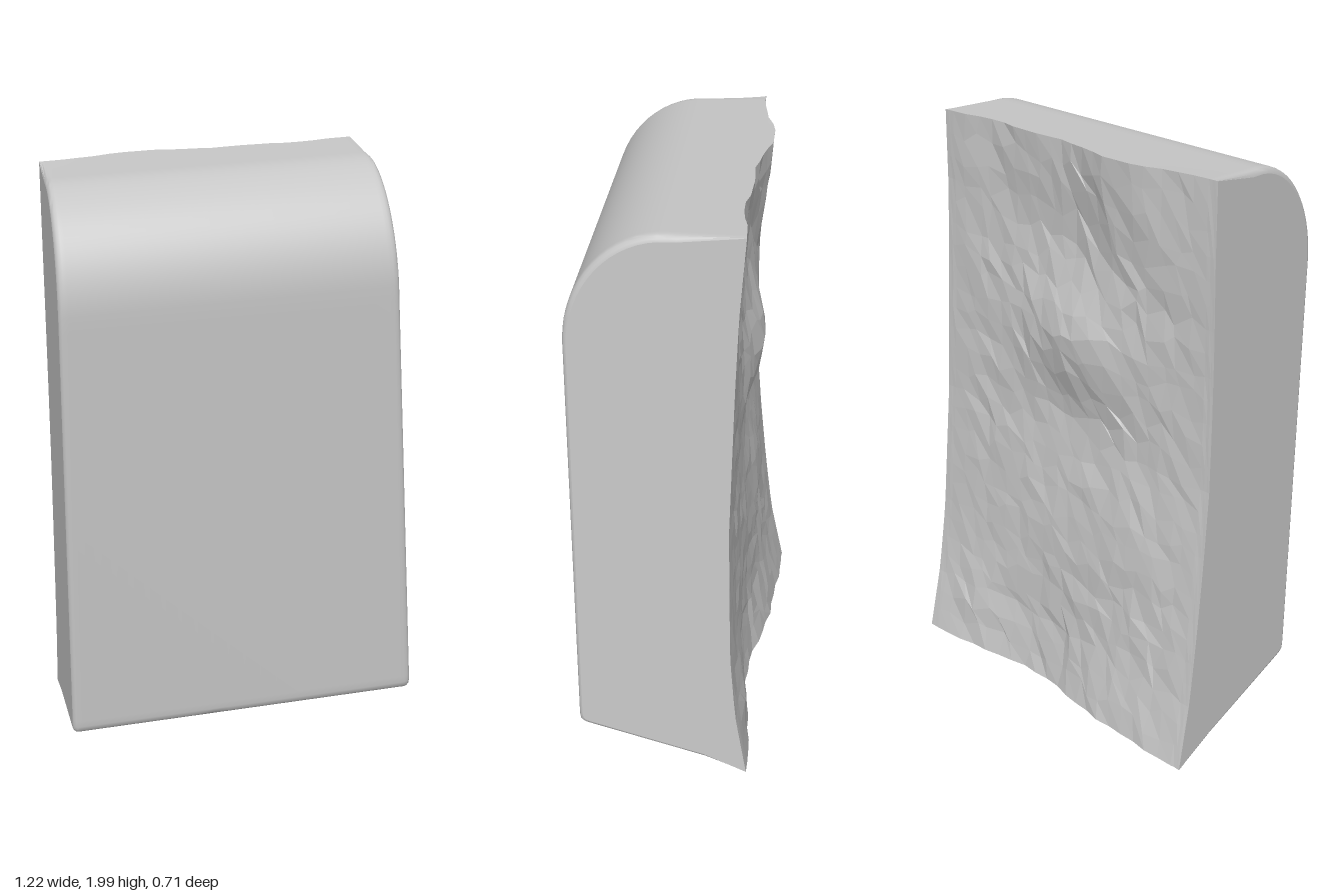
import * as THREE from 'three';
import { toCreasedNormals } from 'three/addons/utils/BufferGeometryUtils.js';

const ROWS = 26, R = 0.018, SHIFT_Z = -0.12, SHIFT_Y = 0.04;
const lerp = THREE.MathUtils.lerp;

// the two side planes: x for a given height and depth
const leftX = (z, y) => -0.55 + 0.105 * (z - 0.33) + 0.008 * (y - 0.155);
const rightX = (z, y) => 0.61 + 0.1 * (z - 0.2) - 0.075 * (y - 0.195);

// depth of the rough face along its two upright edges, bottom to top
const EDGE_L = [-0.265, -0.215, -0.185, -0.16, -0.14, -0.135, -0.135, -0.14, -0.14];
const EDGE_R = [-0.355, -0.31, -0.285, -0.275, -0.265, -0.265, -0.265, -0.268, -0.28];
function sample(list, t) {
  const f = t * (list.length - 1), i = Math.min(Math.floor(f), list.length - 2);
  return lerp(list[i], list[i + 1], f - i);
}

function hash(a, b) {
  const v = Math.sin(a * 127.1 + b * 311.7) * 43758.5453;
  return (v - Math.floor(v)) * 2 - 1;
}

// bumps and hollows: s, t, spread in s, spread in t, depth
const BUMPS = [
  [0.6, 0, 0.22, 0.18, 0.055], [0.3, 1, 0.14, 0.15, -0.045], [0.82, 1, 0.12, 0.15, 0.015],
  [0.47, 0.68, 0.17, 0.09, -0.055], [0.6, 0.85, 0.2, 0.08, 0.02], [0.45, 0.52, 0.2, 0.07, 0.015],
  [0.82, 0.1, 0.07, 0.05, -0.02], [0.25, 0.35, 0.15, 0.1, -0.012],
];

// point on the rough rear face
function backPoint(s, t) {
  const yl = lerp(0.008, 1.965, t), yr = lerp(0.045, 2, t);
  const zl = sample(EDGE_L, t), zr = sample(EDGE_R, t);
  const p = new THREE.Vector3(leftX(zl, yl), yl, zl).lerp(new THREE.Vector3(rightX(zr, yr), yr, zr), s);
  const fade = Math.min(1, 8 * s * (1 - s));
  for (const [bs, bt, ws, wt, d] of BUMPS) {
    p.z += fade * d * Math.exp(-(((s - bs) / ws) ** 2) - ((t - bt) / wt) ** 2);
  }
  p.z += fade * 0.005 * hash(s * 31, t * 17);
  return p;
}

// smooth outline as [z, y], from rear bottom edge round the front to rear top edge
const PROFILE = [[-0.1, 0.05], [0.29, 0.145], [0.305, 0.149], [0.319, 0.154], [0.328, 0.163],
  [0.331, 0.178], [0.332, 0.2], [0.354, 1.55]];
for (let i = 0; i <= 16; i++) {
  const a = (i / 16) * Math.PI / 2;
  PROFILE.push([0.055 + 0.3 * Math.cos(a), 1.6 + 0.352 * Math.sin(a)]);
}
PROFILE.push([0.03, 1.953]);

// stations across the width, with rounded rims at both ends
const rim = [0, 1, 2, 3].map((k) => {
  const a = (k / 3) * Math.PI / 2;
  return { s: R * (1 - Math.cos(a)), inset: R * (1 - Math.sin(a)) };
});
const STATIONS = [...rim, { s: 0.03, inset: 0 }];
for (let i = 1; i < 20; i++) STATIONS.push({ s: lerp(0.03, 0.97, i / 20), inset: 0 });
STATIONS.push({ s: 0.97, inset: 0 }, ...rim.map((r) => ({ s: 1 - r.s, inset: r.inset })).reverse());

// one complete section of the smooth shell
function section({ s, inset }) {
  const pts = PROFILE.map(([z0, y0]) => {
    const d = new THREE.Vector2(0.05 - z0, THREE.MathUtils.clamp(1, y0 - 0.3, y0 + 0.3) - y0).normalize();
    const z = z0 + d.x * inset, y = y0 + d.y * inset;
    const zr = z + SHIFT_Z, yr = y + SHIFT_Y;
    return new THREE.Vector3(lerp(leftX(z, y), rightX(zr, yr), s), lerp(y, yr, s), lerp(z, zr, s));
  });
  return [backPoint(s, 0), ...pts, backPoint(s, 1)];
}

function geometryFrom(triangles) {
  const g = new THREE.BufferGeometry().setFromPoints(triangles);
  g.computeVertexNormals();
  return g;
}

// triangles over a grid of points
function skin(grid, flip) {
  const out = [];
  for (let i = 0; i < grid.length - 1; i++) {
    for (let j = 0; j < grid[i].length - 1; j++) {
      const a = grid[i][j], b = grid[i + 1][j], c = grid[i + 1][j + 1], d = grid[i][j + 1];
      if (flip) out.push(a, c, b, a, d, c);
      else out.push(a, b, c, a, c, d);
    }
  }
  return geometryFrom(out);
}

// flat side: a fan around the middle of the closed outline
function sideFace(outline, rearEdge, isRight) {
  const loop = [...outline, ...rearEdge.slice(1, -1).reverse()];
  const y = 1, z = isRight ? 0 : 0.1;
  const mid = new THREE.Vector3(isRight ? rightX(z, y) : leftX(z, y), y, z);
  const out = [];
  loop.forEach((p, i) => {
    const q = loop[(i + 1) % loop.length];
    out.push(mid, isRight ? q : p, isRight ? p : q);
  });
  return geometryFrom(out);
}

export function createModel() {
  const group = new THREE.Group();
  group.name = 'brokenBlock';
  const stone = new THREE.MeshStandardMaterial({ color: 0xc6c6c6 });
  stone.name = 'light grey';
  const rough = new THREE.MeshStandardMaterial({ color: 0xc6c6c6, flatShading: true });
  rough.name = 'light grey';

  const add = (name, geometry, material) => {
    const mesh = new THREE.Mesh(geometry, material);
    mesh.name = name;
    group.add(mesh);
  };

  // smooth front, rounded top and underside
  const shell = STATIONS.map(section);
  add('smoothShell', toCreasedNormals(skin(shell, false), 0.7), stone);

  // rough rear face, with its inner points scattered for uneven facets
  const back = STATIONS.map(({ s }, i) => Array.from({ length: ROWS + 1 }, (_, j) => {
    const inner = i > 4 && i < STATIONS.length - 5 && j > 0 && j < ROWS;
    const ds = inner ? 0.016 * hash(i, j) : 0, dt = inner ? 0.013 * hash(j + 40, i) : 0;
    return backPoint(s + ds, j / ROWS + dt);
  }));
  add('roughBack', skin(back, true), rough);

  // flat sides
  const last = STATIONS.length - 1;
  add('rightSide', sideFace(shell[0], back[0], false), stone);
  add('leftSide', sideFace(shell[last], back[last], true), stone);
  return group;
}
